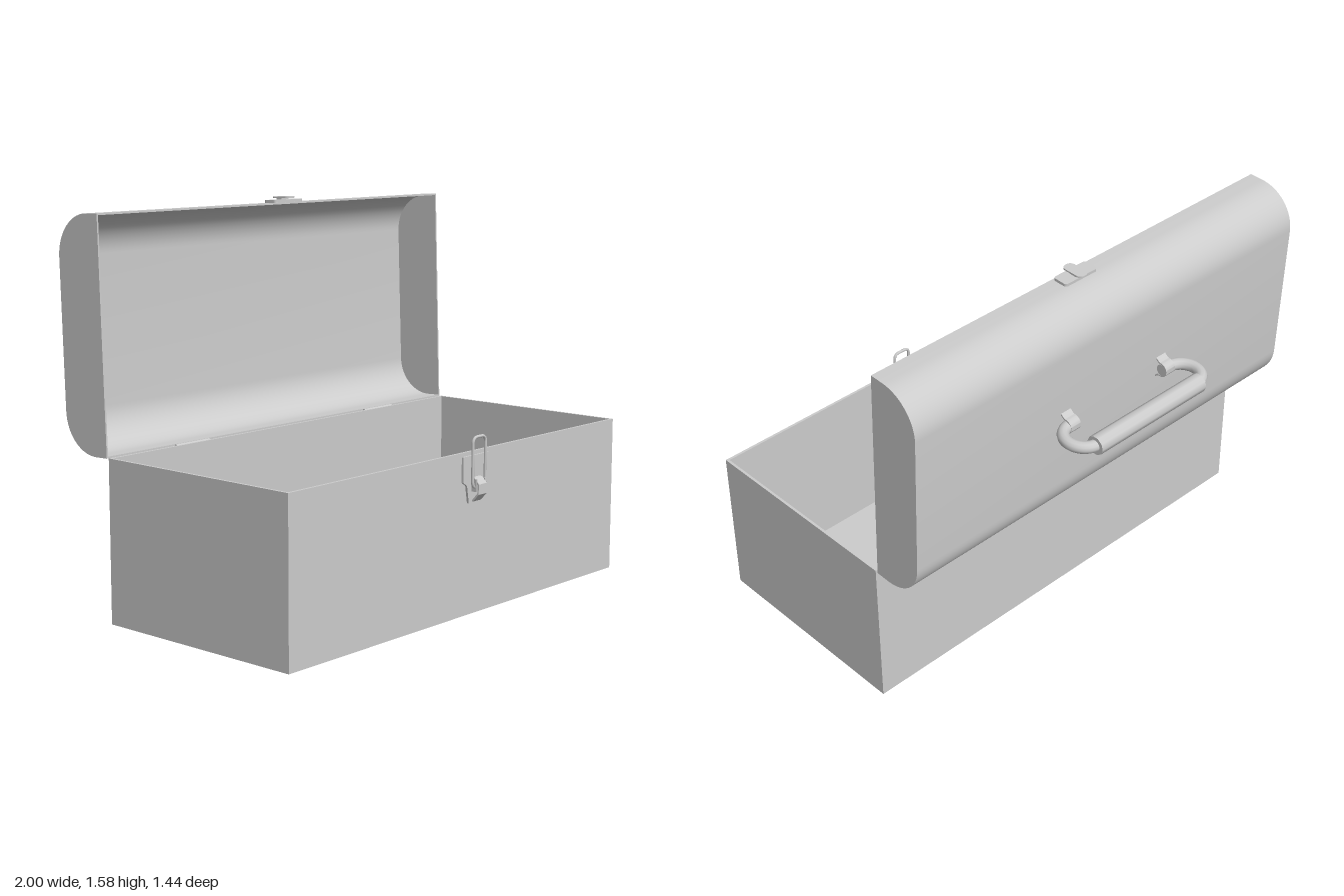
import * as THREE from 'three';
import { toCreasedNormals } from 'three/addons/utils/BufferGeometryUtils.js';

const material = new THREE.MeshStandardMaterial({ color: 0xcccccc, side: THREE.DoubleSide });

function add(parent, name, geometry, x = 0, y = 0, z = 0) {
  const mesh = new THREE.Mesh(geometry, material);
  mesh.name = name;
  mesh.position.set(x, y, z);
  parent.add(mesh);
  return mesh;
}

const box = (w, h, d) => new THREE.BoxGeometry(w, h, d);

// Side profile (x = depth towards the back, y = up) extruded across the width
function extrudeAcross(shape, width, segments = 12) {
  const g = new THREE.ExtrudeGeometry(shape, { depth: width, bevelEnabled: false, curveSegments: segments });
  g.translate(0, 0, -width / 2);
  g.rotateY(Math.PI / 2);
  return toCreasedNormals(g, 0.6);
}

// Lid outline, inset by t, running from the bottom lip round the back to the top lip
function lidOutline(t) {
  const H = 0.92, D = 0.225, r = 0.165, pts = [[0, t]];
  for (let i = 0; i <= 14; i++) {
    const a = -Math.PI / 2 + (i / 14) * Math.PI / 2;
    pts.push([D - r + (r - t) * Math.cos(a), r + (r - t) * Math.sin(a)]);
  }
  for (let i = 0; i <= 14; i++) {
    const a = (i / 14) * Math.PI / 2;
    pts.push([D - r + (r - t) * Math.cos(a), H - r + (r - t) * Math.sin(a)]);
  }
  pts.push([0, H - t]);
  return pts.map(([x, y]) => new THREE.Vector2(x, y));
}

function roundedRect(w, h, r) {
  const s = new THREE.Shape();
  s.moveTo(-w / 2 + r, -h / 2);
  s.absarc(w / 2 - r, -h / 2 + r, r, -Math.PI / 2, 0);
  s.absarc(w / 2 - r, h / 2 - r, r, 0, Math.PI / 2);
  s.absarc(-w / 2 + r, h / 2 - r, r, Math.PI / 2, Math.PI);
  s.absarc(-w / 2 + r, -h / 2 + r, r, Math.PI, Math.PI * 1.5);
  s.closePath();
  return s;
}

function plate(shape, depth) {
  return new THREE.ExtrudeGeometry(shape, { depth, bevelEnabled: false, curveSegments: 6 });
}

function createBase() {
  const base = new THREE.Group();
  base.name = 'base';
  const h = 0.645, front = 0.675, back = -0.252, t = 0.011;
  const d = front - back, mid = (front + back) / 2;
  add(base, 'floor', box(2, t, d), 0, t / 2, mid);
  add(base, 'frontWall', box(2, h, t), 0, h / 2, front - t / 2);
  add(base, 'backWall', box(2, h, t), 0, h / 2, back + t / 2);
  for (const s of [-1, 1]) {
    add(base, 'sideWall', box(t, h, d - 2 * t), s * (1 - t / 2), h / 2, mid);
    // Hinge knuckle and leaf
    const knuckle = new THREE.CylinderGeometry(0.012, 0.012, 0.18, 12).rotateZ(Math.PI / 2);
    add(base, 'hingeKnuckle', knuckle, s * 0.56, 0.637, -0.259);
    add(base, 'hingeLeaf', box(0.18, 0.03, 0.004), s * 0.56, 0.622, -0.253);
  }
  return base;
}

function createLatch() {
  const latch = new THREE.Group();
  latch.name = 'latch';
  latch.position.set(0.045, 0, 0.675);

  // Stepped back plate
  const half = [[0.045, 0.445], [0.057, 0.515], [0.08, 0.53], [0.08, 0.63]];
  const outline = [...half, ...half.map(([x, y]) => [-x, y]).reverse()];
  add(latch, 'latchPlate', plate(new THREE.Shape(outline.map(p => new THREE.Vector2(...p))), 0.009));

  // Wire bail
  const points = roundedRect(0.078, 0.198, 0.022).getPoints(6).slice(0, -1);
  const loop = new THREE.CatmullRomCurve3(points.map(p => new THREE.Vector3(p.x, p.y, 0)), true, 'centripetal');
  add(latch, 'latchBail', new THREE.TubeGeometry(loop, 64, 0.006, 8, true), 0, 0.604, 0.022);

  // Bent lever
  const lever = [[-0.009, 0.545], [-0.025, 0.54], [-0.041, 0.52], [-0.041, 0.48], [-0.014, 0.45], [-0.006, 0.45],
    [-0.006, 0.456], [-0.012, 0.458], [-0.034, 0.484], [-0.034, 0.517], [-0.022, 0.532], [-0.009, 0.537]];
  add(latch, 'latchLever', extrudeAcross(new THREE.Shape(lever.map(p => new THREE.Vector2(...p))), 0.05));
  for (const s of [-1, 1]) add(latch, 'leverEar', box(0.006, 0.05, 0.026), s * 0.026, 0.515, 0.02);
  return latch;
}

function createHandle() {
  const handle = new THREE.Group();
  handle.name = 'handle';
  handle.position.set(0, 0.46, -0.225);
  const grip = new THREE.CylinderGeometry(0.039, 0.039, 0.57, 10).rotateZ(Math.PI / 2);
  add(handle, 'grip', grip, 0, 0, -0.178);
  for (const s of [-1, 1]) {
    // Bent rod end from the grip back to the strap
    const pts = [new THREE.Vector3(s * 0.2, 0, -0.178)];
    for (let i = 0; i <= 10; i++) {
      const a = (i / 10) * Math.PI;
      pts.push(new THREE.Vector3(s * (0.272 + 0.074 * Math.sin(a)), 0, -0.104 - 0.074 * Math.cos(a)));
    }
    pts.push(new THREE.Vector3(s * 0.235, 0, -0.03));
    add(handle, 'handleRod', new THREE.TubeGeometry(new THREE.CatmullRomCurve3(pts), 36, 0.024, 12));
    add(handle, 'rodEnd', new THREE.CircleGeometry(0.024, 12).rotateY(Math.PI / 2), s * 0.235, 0, -0.03);

    // Strap arched over the rod
    const strap = new THREE.Shape();
    strap.moveTo(0, -0.045);
    strap.quadraticCurveTo(0.015, -0.03, 0.025, -0.031);
    strap.absarc(0.025, 0, 0.031, -Math.PI / 2, Math.PI / 2);
    strap.quadraticCurveTo(0.015, 0.03, 0, 0.045);
    strap.lineTo(0, 0.037);
    strap.quadraticCurveTo(0.012, 0.025, 0.025, 0.025);
    strap.absarc(0.025, 0, 0.025, Math.PI / 2, -Math.PI / 2, true);
    strap.quadraticCurveTo(0.012, -0.025, 0, -0.037);
    add(handle, 'handleStrap', extrudeAcross(strap, 0.05), s * 0.26, 0, 0);
  }
  return handle;
}

function createLid() {
  const lid = new THREE.Group();
  lid.name = 'lid';
  lid.position.set(0, 0.642, -0.263);
  lid.rotation.x = -0.033;

  // Rounded shell and flat ends
  const t = 0.007;
  const band = new THREE.Shape([...lidOutline(0), ...lidOutline(t).reverse()]);
  add(lid, 'lidShell', extrudeAcross(band, 2));
  for (const s of [-1, 1]) {
    add(lid, 'lidEnd', extrudeAcross(new THREE.Shape(lidOutline(t * 0.5)), t), s * (1 - t / 2), 0, 0);
  }

  // Catch for the latch
  const catchPlate = plate(roundedRect(0.165, 0.066, 0.012), 0.012).rotateX(-Math.PI / 2);
  add(lid, 'catchPlate', catchPlate, 0.045, 0.919, -0.038);
  const hook = plate(roundedRect(0.05, 0.1, 0.022), 0.006).rotateX(-Math.PI / 2);
  add(lid, 'catchHook', hook, 0.045, 0.937, -0.037);
  add(lid, 'catchNeck', box(0.04, 0.012, 0.03), 0.045, 0.933, -0.045);

  lid.add(createHandle());
  return lid;
}

export function createModel() {
  const model = new THREE.Group();
  model.name = 'toolbox';
  model.add(createBase(), createLatch(), createLid());
  return model;
}
